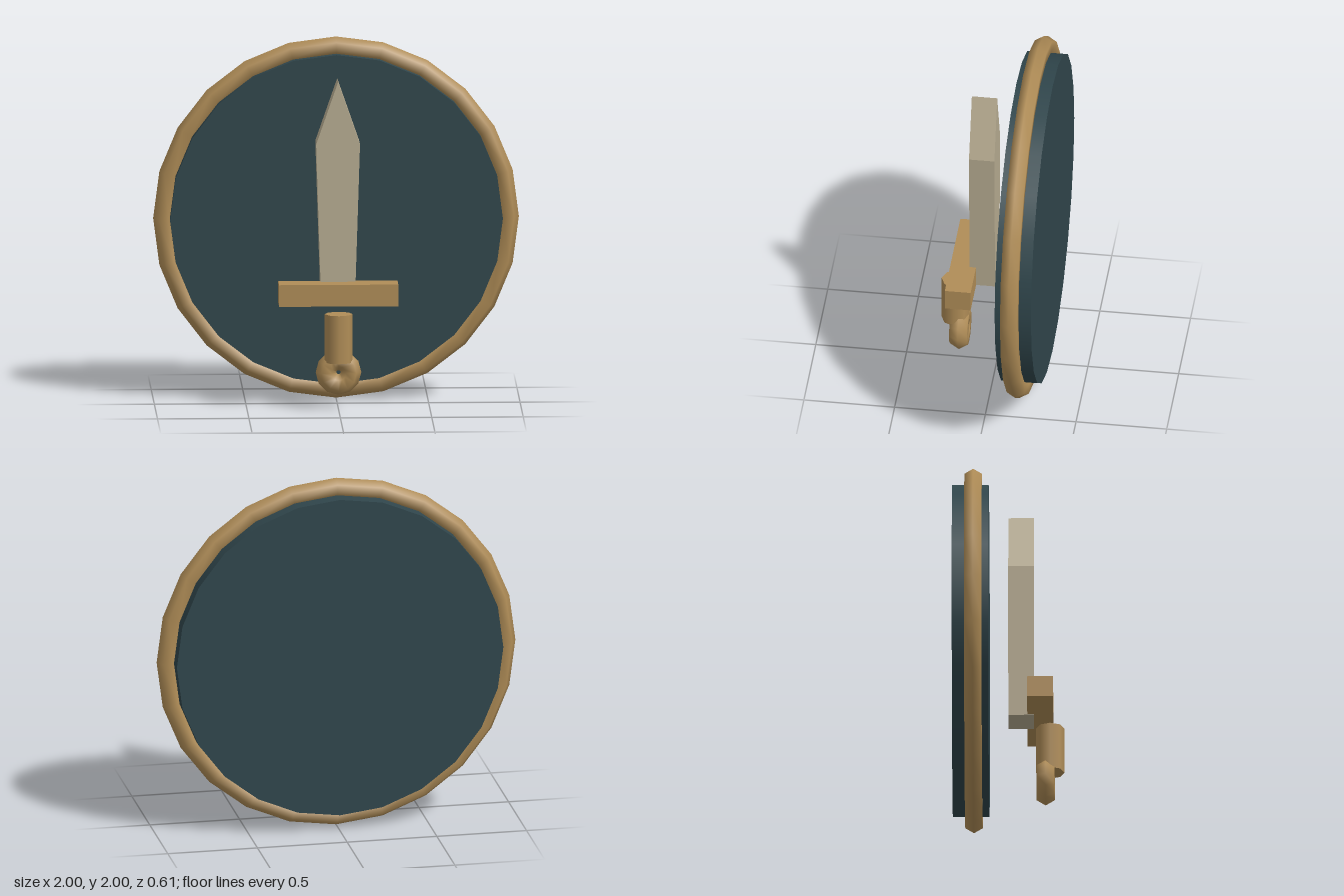
import * as THREE from 'three';

export function createModel() {
  const model = new THREE.Group();
  const material = (color) => new THREE.MeshStandardMaterial({ color });
  const teal = material(0x30464c);
  const bronze = material(0xb08d57);
  const steel = material(0xb8ad92);

  const add = (parent, name, geometry, mat, x, y, z) => {
    const mesh = new THREE.Mesh(geometry, mat);
    mesh.name = name;
    mesh.position.set(x, y, z);
    parent.add(mesh);
    return mesh;
  };

  // Round shield: thick disc with a six-sided rim
  const shield = new THREE.Group();
  shield.name = 'shield';
  const disc = new THREE.CylinderGeometry(0.91, 0.91, 0.2, 24).rotateX(Math.PI / 2);
  add(shield, 'shieldDisc', disc, teal, 0, 1, -0.205);
  const rim = new THREE.TorusGeometry(0.945, 0.055, 6, 24);
  add(shield, 'shieldRim', rim, bronze, 0, 1, -0.19);

  // Sword floating in front of the shield, point up
  const sword = new THREE.Group();
  sword.name = 'sword';
  const outline = new THREE.Shape([
    [-0.092, 0.572], [0.092, 0.572], [0.12, 1.455], [0, 1.8], [-0.12, 1.455],
  ].map(([x, y]) => new THREE.Vector2(x, y)));
  const blade = new THREE.ExtrudeGeometry(outline, { depth: 0.14, bevelEnabled: false });
  add(sword, 'blade', blade, steel, 0, 0, 0);
  add(sword, 'crossguard', new THREE.BoxGeometry(0.652, 0.12, 0.142), bronze, 0, 0.635, 0.175);
  add(sword, 'grip', new THREE.CylinderGeometry(0.077, 0.077, 0.266, 8), bronze, 0, 0.398, 0.229);
  add(sword, 'pommelRing', new THREE.TorusGeometry(0.068, 0.057, 6, 12), bronze, 0, 0.205, 0.204);

  model.add(shield, sword);
  return model;
}
